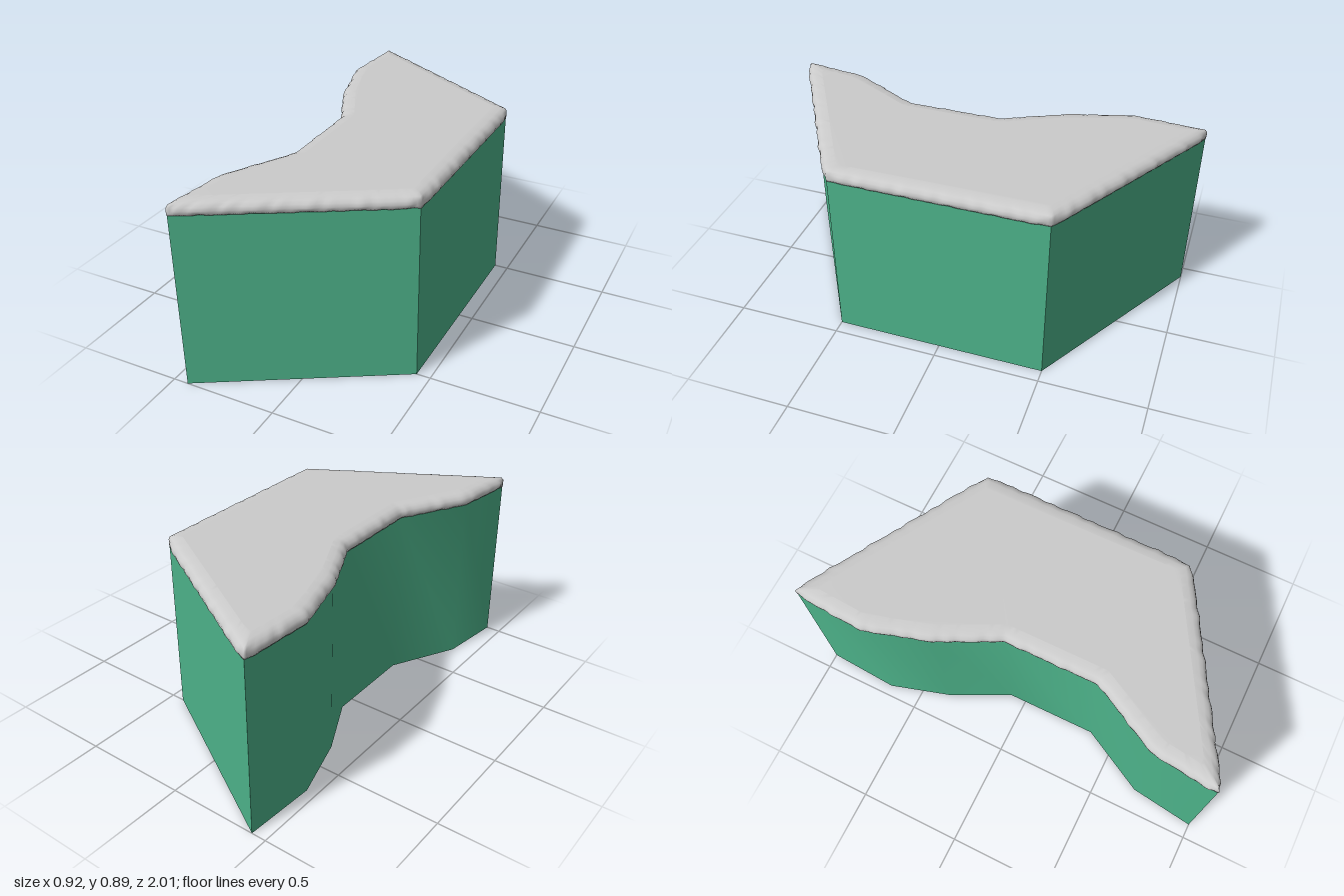
import * as THREE from 'three';
import { toCreasedNormals } from 'three/addons/utils/BufferGeometryUtils.js';

// Footprint in (x, z): straight right side, slanted ends, hollow left side
const OUTLINE = [
  [0.435, -0.5], [0.435, 0.5], [-0.43, 1], [-0.39, 0.69], [-0.22, 0.37],
  [-0.222, -0.08], [-0.36, -0.36], [-0.45, -0.66], [-0.43, -1],
].map(([x, z]) => new THREE.Vector2(x, z));
const BLOCK_HEIGHT = 0.843;

// Cross-section of the cap rim: [outward offset, height]
const RIM = [
  [-0.012, 0.838], [0.005, 0.834], [0.012, 0.844], [0.014, 0.857], [0.009, 0.871],
  [-0.004, 0.884], [-0.022, 0.891], [-0.05, 0.895],
];

// Mitred outward direction at each corner
function cornerNormals(points) {
  const n = points.length;
  const edge = points.map((p, i) => {
    const d = points[(i + 1) % n].clone().sub(p).normalize();
    return new THREE.Vector2(d.y, -d.x);
  });
  return edge.map((e, i) => {
    const prev = edge[(i + n - 1) % n];
    return e.clone().add(prev).divideScalar(1 + e.dot(prev));
  });
}

// Evenly spaced points round the footprint, with outward direction and overhang
function sampleOutline(step) {
  const normals = cornerNormals(OUTLINE);
  const sharp = [0, 1, 2, 8].map((i) => OUTLINE[i]);
  const samples = [];
  let along = 0;
  OUTLINE.forEach((a, i) => {
    const j = (i + 1) % OUTLINE.length;
    const b = OUTLINE[j];
    const length = a.distanceTo(b);
    const count = Math.ceil(length / step);
    for (let k = 0; k < count; k++) {
      const t = k / count;
      const p = a.clone().lerp(b, t);
      const near = Math.min(...sharp.map((s) => s.distanceTo(p)));
      samples.push({
        p,
        normal: normals[i].clone().lerp(normals[j], t),
        overhang: THREE.MathUtils.lerp(0.1, 1, THREE.MathUtils.smoothstep(near, 0, 0.08)),
        s: along + t * length,
      });
    }
    along += length;
  });
  return samples;
}

// Soft lumps along the rim
const lump = (s) => 0.5 * Math.sin(s * 62) + 0.3 * Math.sin(s * 97 + 1.3) + 0.35 * Math.sin(s * 31 + 0.6);

function capGeometry() {
  const samples = sampleOutline(0.016);
  const n = samples.length;
  const positions = [];
  const index = [];
  RIM.forEach(([offset, height], r) => {
    const weight = Math.sin((Math.PI * r) / (RIM.length - 1));
    for (const { p, normal, overhang, s } of samples) {
      const d = (offset > 0 ? offset * overhang : offset) + 0.004 * weight * overhang * lump(s);
      const y = height + (r < 3 ? 0.003 * lump(s + 0.4) : 0);
      positions.push(p.x + normal.x * d, y, p.y + normal.y * d);
    }
  });
  for (let r = 0; r < RIM.length - 1; r++) {
    for (let i = 0; i < n; i++) {
      const a = r * n + i;
      const b = r * n + ((i + 1) % n);
      index.push(a, a + n, b, b, a + n, b + n);
    }
  }
  // Flat top inside the last ring
  const base = (RIM.length - 1) * n;
  const inner = samples.map((_, i) => {
    const q = (base + i) * 3;
    return new THREE.Vector2(positions[q], -positions[q + 2]);
  });
  for (const [a, b, c] of THREE.ShapeUtils.triangulateShape(inner, [])) {
    const up = inner[b].clone().sub(inner[a]).cross(inner[c].clone().sub(inner[a])) >= 0;
    index.push(base + a, base + (up ? b : c), base + (up ? c : b));
  }
  const geometry = new THREE.BufferGeometry();
  geometry.setAttribute('position', new THREE.Float32BufferAttribute(positions, 3));
  geometry.setIndex(index);
  geometry.computeVertexNormals();
  return geometry;
}

function blockGeometry() {
  const shape = new THREE.Shape(OUTLINE.map((p) => new THREE.Vector2(p.x, -p.y)));
  const geometry = new THREE.ExtrudeGeometry(shape, { depth: BLOCK_HEIGHT, bevelEnabled: false });
  geometry.rotateX(-Math.PI / 2);
  return toCreasedNormals(geometry, 0.6); // hollow side smooth, corners sharp
}

export function createModel() {
  const group = new THREE.Group();
  const add = (name, geometry, color) => {
    const mesh = new THREE.Mesh(geometry, new THREE.MeshStandardMaterial({ color }));
    mesh.name = name;
    group.add(mesh);
  };
  add('block', blockGeometry(), 0x4db38a);
  add('cap', capGeometry(), 0xcccccc);
  return group;
}
